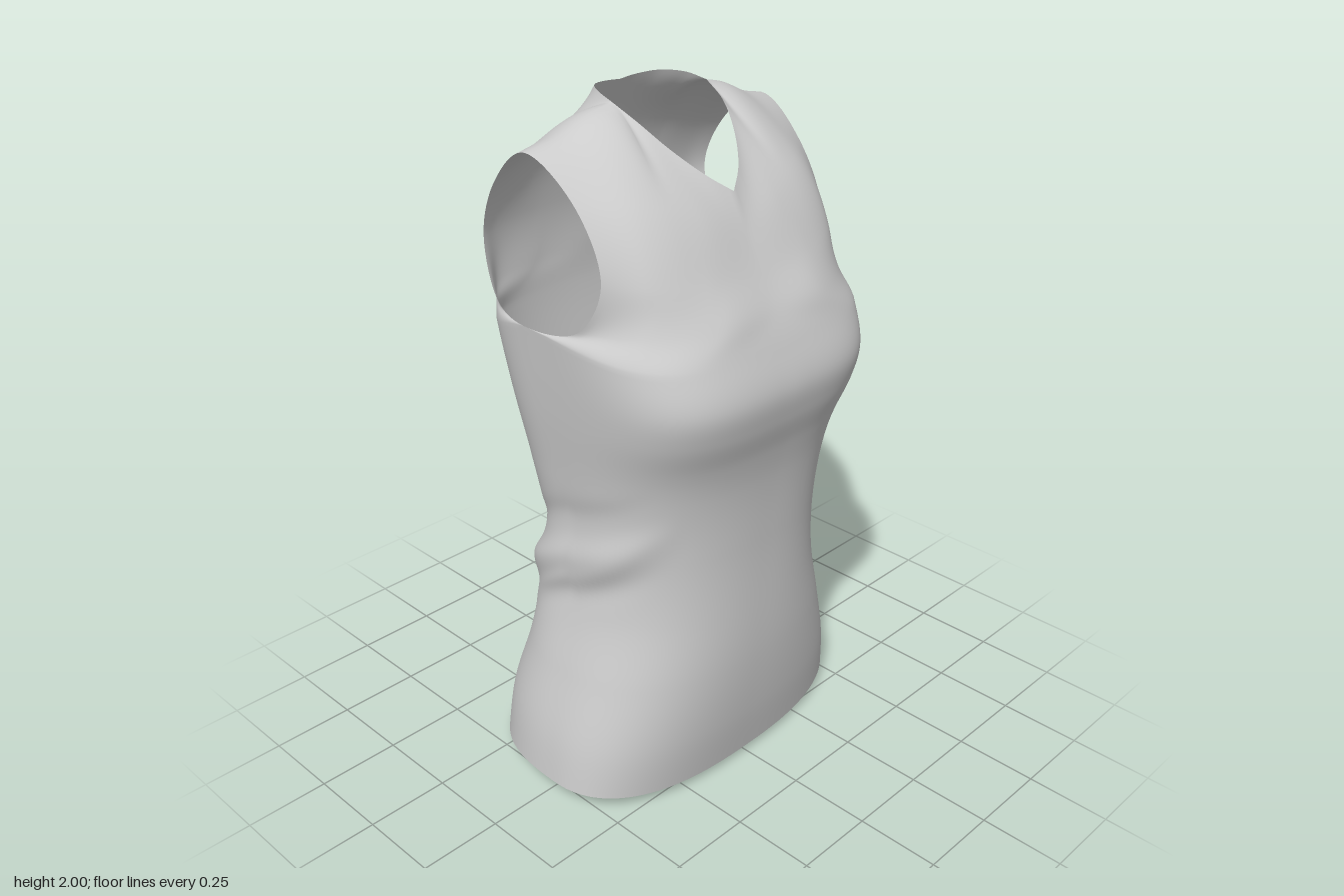
import * as THREE from 'three';
import { mergeVertices } from 'three/addons/utils/BufferGeometryUtils.js';

const V = (x, y, z) => new THREE.Vector3(x, y, z);
const curve = (...pts) => new THREE.CatmullRomCurve3(pts.map((p) => V(...p)));

// smooth value over height from a few [height, value] pairs
function profile(...pairs) {
  const spline = new THREE.CubicInterpolant(pairs.map((p) => p[0]), pairs.map((p) => p[1]), 1, new Float32Array(1));
  return (y) => spline.evaluate(y)[0];
}

// body profiles: half width, side seam depth, front and back depth, squareness
const width = profile([0, 0.56], [0.2, 0.53], [0.4, 0.475], [0.6, 0.422], [0.82, 0.407], [1, 0.425], [1.2, 0.45], [1.45, 0.475]);
const seam = profile([0, 0.03], [0.5, -0.01], [1, -0.03], [1.45, -0.09]);
const frontDepth = profile([0, 0.295], [0.2, 0.33], [0.4, 0.35], [0.8, 0.358], [1, 0.375], [1.1, 0.395], [1.2, 0.424], [1.29, 0.435], [1.4, 0.402], [1.5, 0.355]);
const backDepth = profile([0, -0.435], [0.2, -0.405], [0.42, -0.335], [0.6, -0.315], [0.78, -0.285], [1, -0.31], [1.2, -0.338], [1.4, -0.355], [1.5, -0.353]);
const frontSquare = profile([0, 2.5], [0.8, 2.5], [1.05, 2.8], [1.28, 3.7], [1.45, 3.5]);
const backSquare = profile([0, 2.5], [0.8, 2.6], [1.45, 3.2]);

// diagonal folds: [height at the back, rise towards the front, width, depth, fade start]
const FOLDS = [
  [0.58, 0.46, 0.06, 0.045, 0.2],
  [0.72, 0.46, 0.04, -0.012, 0.25],
  [0.45, 0.5, 0.04, -0.014, 0.25],
  [0.4, 0.75, 0.035, 0.016, 0.28],
];
function foldOffset(phi, y) {
  let sum = 0;
  for (const [base, rise, w, depth, fade] of FOLDS) {
    const d = y - base - rise * Math.pow(1 - phi, 1.4);
    const sharp = d > 0 ? w * 0.9 : w * 1.15;
    const strength = THREE.MathUtils.smoothstep(phi, fade, fade + 0.25) * (0.4 + 0.6 * Math.abs(2 * phi - 1));
    sum += depth * strength * Math.exp(-(d * d) / (sharp * sharp));
  }
  return sum;
}

// point on the torso tube: s runs from the centre line to the side seam, v from hem to underarm
function torsoPoint(front, s, v) {
  const a = Math.PI / 2 * Math.pow(s, 1.15);
  const c = Math.max(Math.cos(a), 0);
  const hem = 0.06 - (front ? 0.032 : 0.055) * c * c;
  const y = THREE.MathUtils.lerp(hem, 1.4 + 0.05 * Math.pow(s, 4), v);
  const e = 2 / (front ? frontSquare : backSquare)(y);
  const mid = seam(y);
  const x = width(y) * Math.pow(Math.sin(a), e);
  const z = mid + ((front ? frontDepth : backDepth)(y) - mid) * (s === 1 ? 0 : Math.pow(c, e));
  const phi = front ? a / Math.PI : 1 - a / Math.PI;
  const out = foldOffset(phi, y);
  const len = Math.hypot(x, z);
  return V(x * (1 + out / len), y, z * (1 + out / len));
}

// yoke rows from chest to shoulder, each from the centre line to the armhole edge
const shoulder = curve([0.175, 1.985, -0.06], [0.25, 1.965, -0.07], [0.34, 1.925, -0.08], [0.44, 1.9, -0.095]);
const YOKE = {
  front: {
    rows: [
      curve([0, 1.48, 0.365], [0.2, 1.49, 0.358], [0.37, 1.485, 0.27], [0.45, 1.475, 0.09]),
      curve([0, 1.57, 0.312], [0.2, 1.59, 0.3], [0.34, 1.605, 0.25], [0.425, 1.61, 0.155]),
      curve([0, 1.68, 0.25], [0.15, 1.74, 0.218], [0.3, 1.79, 0.155], [0.425, 1.79, 0.07]),
    ],
    neck: curve([0, 1.77, 0.205], [0.06, 1.815, 0.165], [0.12, 1.88, 0.095], [0.16, 1.945, 0.015], [0.175, 1.985, -0.06]),
  },
  back: {
    rows: [
      curve([0, 1.5, -0.352], [0.2, 1.5, -0.352], [0.38, 1.49, -0.31], [0.445, 1.48, -0.235]),
      curve([0, 1.65, -0.34], [0.22, 1.65, -0.342], [0.36, 1.645, -0.325], [0.425, 1.64, -0.3]),
      curve([0, 1.86, -0.28], [0.15, 1.86, -0.278], [0.3, 1.83, -0.258], [0.43, 1.8, -0.232]),
    ],
    neck: curve([0, 1.99, -0.215], [0.06, 1.995, -0.212], [0.12, 2, -0.185], [0.16, 1.998, -0.125], [0.175, 1.985, -0.06]),
  },
};
const NECK_END = 0.55;

// one column of the yoke, easing round the armhole and over the shoulder
function yokeColumn(front, s, steps) {
  const own = front ? YOKE.front : YOKE.back;
  const other = front ? YOKE.back : YOKE.front;
  const top = s <= NECK_END ? own.neck.getPointAt(s / NECK_END) : shoulder.getPointAt((s - NECK_END) / (1 - NECK_END));
  const rows = own.rows.map((r) => r.getPointAt(s));
  const before = torsoPoint(front, s, 0.93).lerp(other.rows[0].getPointAt(s), Math.pow(s, 14));
  const beyond = top.clone().multiplyScalar(2).sub(rows[2])
    .lerp(other.rows[2].getPointAt(s), THREE.MathUtils.smoothstep(s, 0.45, 0.65));
  const path = new THREE.CatmullRomCurve3([before, torsoPoint(front, s, 1), ...rows, top, beyond]);
  const pts = [];
  for (let i = 1; i <= steps; i++) pts.push(path.getPoint((1 + 4 * i / steps) / 6));
  return pts;
}

// four mirrored quarter panels welded into one smooth cloth surface
function garmentGeometry() {
  const COLS = 40, LOW = 100, HIGH = 40, ROWS = LOW + HIGH + 1;
  const positions = [], index = [];
  for (const front of [true, false]) {
    const columns = [];
    for (let i = 0; i <= COLS; i++) {
      const s = i / COLS, column = [];
      for (let j = 0; j <= LOW; j++) column.push(torsoPoint(front, s, j / LOW));
      columns.push([...column, ...yokeColumn(front, s, HIGH)]);
    }
    for (const side of [1, -1]) {
      const start = positions.length / 3;
      for (const column of columns) for (const p of column) positions.push(p.x * side, p.y, p.z);
      const outward = front === (side === 1);
      for (let i = 0; i < COLS; i++) {
        for (let j = 0; j < ROWS - 1; j++) {
          const a = start + i * ROWS + j, b = a + ROWS, c = b + 1, d = a + 1;
          if (outward) index.push(a, b, c, a, c, d);
          else index.push(a, c, b, a, d, c);
        }
      }
    }
  }
  let geometry = new THREE.BufferGeometry();
  geometry.setAttribute('position', new THREE.Float32BufferAttribute(positions, 3));
  geometry.setIndex(index);
  geometry = mergeVertices(geometry, 1e-4);
  geometry.computeVertexNormals();
  return geometry;
}

export function createModel() {
  const group = new THREE.Group();
  group.name = 'sleevelessTop';
  const cloth = new THREE.MeshStandardMaterial({ color: 0xcccccc, side: THREE.DoubleSide });
  const garment = new THREE.Mesh(garmentGeometry(), cloth);
  garment.name = 'garmentBody';
  group.add(garment);
  return group;
}
